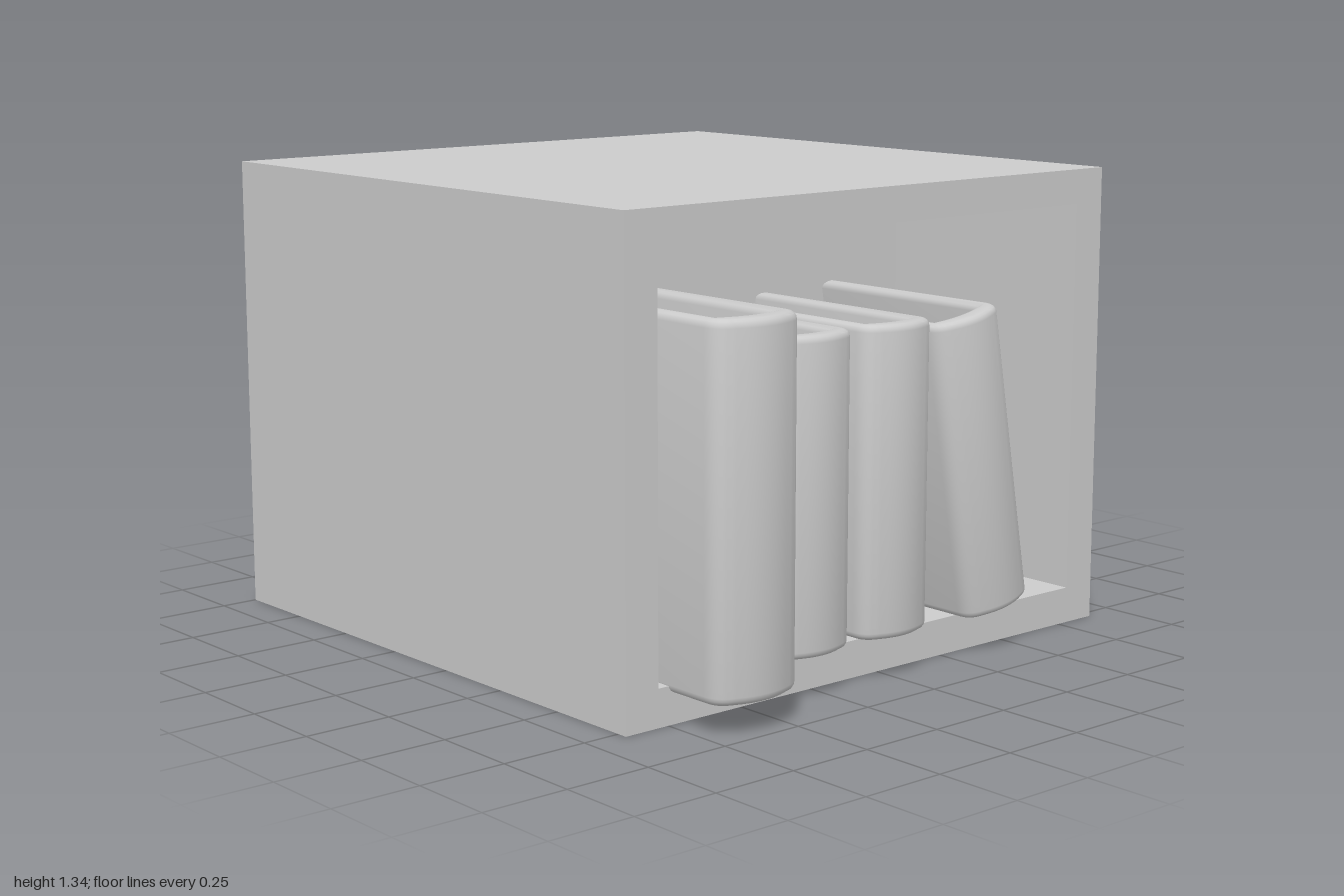
import * as THREE from 'three';
import { toCreasedNormals } from 'three/addons/utils/BufferGeometryUtils.js';

const material = new THREE.MeshStandardMaterial({ color: 0xcccccc, side: THREE.DoubleSide });

const CASE = { w: 1.78, h: 1.335, front: 0.78, back: -1, panel: 0.06, cy: 0.6675 };
const OPENING = { w: 1.565, h: 1.13, cy: 0.67 };
const BOOK = { w: 0.125, h: 0.86, d: 0.35, cover: 0.042, bevel: 0.02 };

function addMesh(parent, name, geometry) {
  const mesh = new THREE.Mesh(geometry, material);
  mesh.name = name;
  parent.add(mesh);
  return mesh;
}

// Four thin walls running along z, open at both ends
function addTunnel(parent, name, w, h, cy, z0, z1) {
  const depth = z1 - z0;
  const zc = (z0 + z1) / 2;
  for (const s of [-1, 1]) {
    const side = addMesh(parent, name + (s > 0 ? 'Left' : 'Right'), new THREE.PlaneGeometry(depth, h));
    side.rotation.y = s * Math.PI / 2;
    side.position.set(s * w / 2, cy, zc);
    const flat = addMesh(parent, name + (s > 0 ? 'Top' : 'Bottom'), new THREE.PlaneGeometry(w, depth));
    flat.rotation.x = -s * Math.PI / 2;
    flat.position.set(0, cy + s * h / 2, zc);
  }
}

function rectangle(path, w, h, cy) {
  path.moveTo(-w / 2, cy - h / 2);
  path.lineTo(w / 2, cy - h / 2);
  path.lineTo(w / 2, cy + h / 2);
  path.lineTo(-w / 2, cy + h / 2);
  path.closePath();
  return path;
}

function createCase() {
  const group = new THREE.Group();
  group.name = 'shelfCase';
  addTunnel(group, 'outerWall', CASE.w, CASE.h, CASE.cy, CASE.back, CASE.front);
  addTunnel(group, 'innerWall', OPENING.w, OPENING.h, OPENING.cy, CASE.panel, CASE.front);
  const frame = rectangle(new THREE.Shape(), CASE.w, CASE.h, CASE.cy);
  frame.holes.push(rectangle(new THREE.Path(), OPENING.w, OPENING.h, OPENING.cy));
  addMesh(group, 'frontFrame', new THREE.ShapeGeometry(frame)).position.z = CASE.front;
  // Panel closing the compartment; the case is open behind it
  addMesh(group, 'backPanel', new THREE.PlaneGeometry(CASE.w, CASE.h)).position.set(0, CASE.cy, CASE.panel);
  return group;
}

// U-shaped plan of the covers and the bowed spine, extruded upwards
function coverGeometry() {
  const { w, h, d, cover, bevel } = BOOK;
  const inner = w - cover;
  const shape = new THREE.Shape();
  shape.moveTo(w, -d);
  shape.lineTo(w, d - 0.075);
  shape.quadraticCurveTo(w, d - 0.03, w - 0.045, d - 0.017);
  shape.quadraticCurveTo(0, d + 0.017, -w + 0.045, d - 0.017);
  shape.quadraticCurveTo(-w, d - 0.03, -w, d - 0.075);
  shape.lineTo(-w, -d);
  shape.lineTo(-inner, -d);
  shape.lineTo(-inner, d - 0.08);
  shape.quadraticCurveTo(0, d - 0.05, inner, d - 0.08);
  shape.lineTo(inner, -d);
  shape.closePath();
  const geometry = new THREE.ExtrudeGeometry(shape, {
    depth: h - 2 * bevel, bevelEnabled: true, bevelSize: bevel, bevelThickness: bevel,
    bevelOffset: -bevel, bevelSegments: 4, curveSegments: 8,
  });
  geometry.translate(0, 0, -(h - 2 * bevel) / 2);
  geometry.rotateX(Math.PI / 2);
  return toCreasedNormals(geometry, 0.7);
}

function createBook(name, cover, pages) {
  const book = new THREE.Group();
  book.name = name;
  addMesh(book, 'cover', cover);
  addMesh(book, 'pages', pages).position.z = -0.055;
  return book;
}

export function createModel() {
  const model = new THREE.Group();
  model.name = 'bookShelf';
  model.add(createCase());

  const cover = coverGeometry();
  const pages = new THREE.BoxGeometry(2 * (BOOK.w - BOOK.cover) + 0.03, BOOK.h - 0.2, 2 * BOOK.d - 0.15);
  // x, y, z, scale, lean
  const books = [
    ['tallBook', -0.605, 0.578, 0.6, 1.145, 0],
    ['secondBook', -0.3, 0.552, 0.54, 1, 0],
    ['thirdBook', -0.003, 0.552, 0.54, 1, 0],
    ['leaningBook', 0.334, 0.552, 0.54, 1, 0.175],
  ];
  for (const [name, x, y, z, scale, lean] of books) {
    const book = createBook(name, cover, pages);
    book.position.set(x, y, z);
    book.scale.setScalar(scale);
    book.rotation.z = lean;
    model.add(book);
  }
  return model;
}
